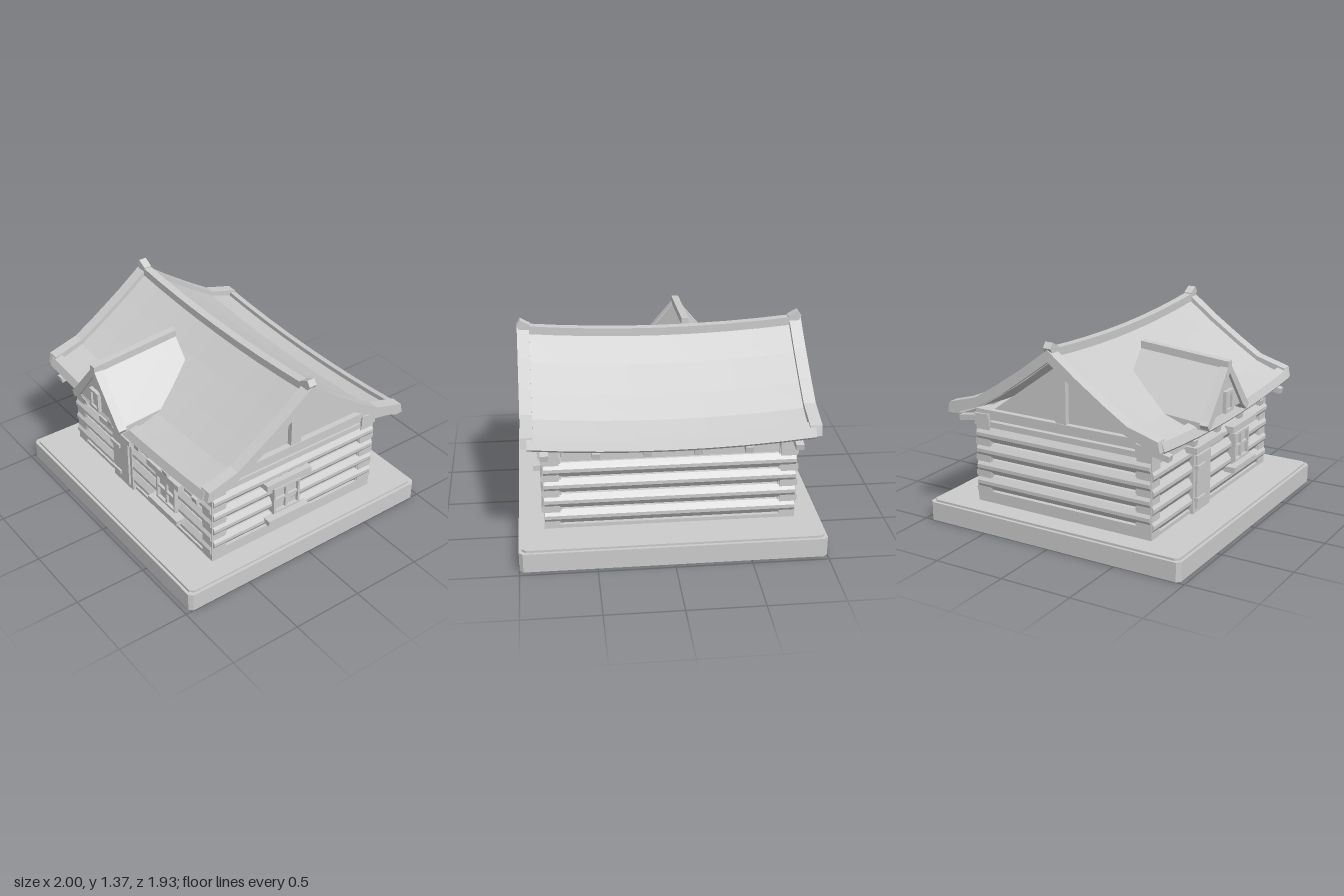
import * as THREE from 'three';

const timber = new THREE.MeshStandardMaterial({ color: 0xcccccc, flatShading: true });
timber.name = 'pale grey';

export function createModel() {
  const model = new THREE.Group();
  model.name = 'logCabin';

  const add = (name, geo, parent = model) => {
    const mesh = new THREE.Mesh(geo, timber);
    mesh.name = name;
    parent.add(mesh);
    return mesh;
  };
  const group = (name) => {
    const g = new THREE.Group();
    g.name = name;
    model.add(g);
    return g;
  };
  // Box given by its limits
  const box = (name, x0, x1, y0, y1, z0, z1, parent) => add(name,
    new THREE.BoxGeometry(x1 - x0, y1 - y0, z1 - z0)
      .translate((x0 + x1) / 2, (y0 + y1) / 2, (z0 + z1) / 2), parent);
  const shapeOf = (pts) => new THREE.Shape(pts.map((p) => new THREE.Vector2(...p)));
  const extrude = (pts, depth) =>
    new THREE.ExtrudeGeometry(shapeOf(pts), { depth, bevelEnabled: false });
  // Sweeps a profile of [-z, y] points along x, lifted by rise(x)
  const sweep = (pts, xs, rise) => {
    const n = pts.length, pos = [], idx = [];
    xs.forEach((x) => pts.forEach(([s, y]) => pos.push(x, y + rise(x), -s)));
    for (let i = 0; i < xs.length - 1; i++) {
      for (let j = 0; j < n; j++) {
        const a = i * n + j, b = i * n + (j + 1) % n;
        idx.push(a, b, b + n, a, b + n, a + n);
      }
    }
    const last = (xs.length - 1) * n;
    const tris = THREE.ShapeUtils.triangulateShape(pts.map((p) => new THREE.Vector2(...p)), []);
    tris.forEach(([a, b, c]) => idx.push(c, b, a, last + a, last + b, last + c));
    const geo = new THREE.BufferGeometry();
    geo.setAttribute('position', new THREE.Float32BufferAttribute(pos, 3));
    geo.setIndex(idx);
    const flat = geo.toNonIndexed();
    flat.computeVertexNormals();
    return flat;
  };

  // Plinth with clipped corners and a chamfered top
  const clipped = (x, z, c) => [[-x, -z + c], [-x + c, -z], [x - c, -z], [x, -z + c],
    [x, z - c], [x - c, z], [-x + c, z], [-x, z - c]];
  add('plinth', extrude(clipped(1, 0.965, 0.025), 0.13).rotateX(-Math.PI / 2));
  add('plinthTop', extrude(clipped(0.98, 0.945, 0.025), 0.145).rotateX(-Math.PI / 2));

  // Log walls: courses on the long and short sides alternate in height
  const walls = group('logWalls');
  box('wallCore', -0.74, 0.74, 0.14, 0.74, -0.585, 0.585, walls);
  const log = (length) => extrude([[-0.04, -0.05], [0.04, -0.05], [0.066, -0.012], [0.066, 0.012],
    [0.04, 0.05], [-0.04, 0.05], [-0.066, 0.012], [-0.066, -0.012]], length)
    .translate(0, 0, -length / 2);
  for (const s of [-1, 1]) {
    for (const y of [0.23, 0.342, 0.455, 0.567]) {
      add('longLog', log(1.65).rotateY(Math.PI / 2).translate(0, y, s * 0.62), walls);
    }
    for (const y of [0.285, 0.398, 0.51, 0.625]) {
      add('sideLog', log(1.33).translate(s * 0.778, y, 0), walls);
    }
    const zs = [s * 0.57, s * 0.67].sort((a, b) => a - b);
    box('sillBeam', -0.8, 0.8, 0.14, 0.17, ...zs, walls);
    box('wallPlate', -0.71, 0.71, 0.63, 0.77, ...zs, walls);
    const xs = [s * 0.73, s * 0.83].sort((a, b) => a - b);
    box('sideSill', ...xs, 0.14, 0.225, -0.6, 0.6, walls);
    box('sideTieBeam', ...xs, 0.735, 0.8, -0.67, 0.67, walls);
    box('sideTopBeam', ...xs, 0.68, 0.72, -0.6, 0.6, walls);
    for (const t of [-1, 1]) {
      box('cornerPost', -0.053, 0.053, 0.14, 0.8, -0.054, 0.054, walls)
        .position.set(s * 0.777, 0, t * 0.618);
      box('cornerHead', -0.055, 0.055, 0.69, 0.77, -0.06, 0.06, walls)
        .position.set(s * 0.787, 0, t * 0.618);
    }
  }

  // Gable ends with a king post
  const gables = group('gables');
  for (const s of [-1, 1]) {
    add('gablePanel', extrude([[-0.56, 0.79], [0.56, 0.79], [0, 1.2]], 0.04)
      .rotateY(Math.PI / 2).translate(s * 0.77 - 0.02, 0, 0), gables);
    box('kingPost', -0.04, 0.04, 0.79, 1.2, -0.04, 0.04, gables).position.x = s * 0.785;
  }

  // Rafter tails under both eaves
  const rafters = group('rafterTails');
  for (const s of [-1, 1]) {
    for (let i = 0; i < 6; i++) {
      const tail = box('rafterTail', -0.026, 0.026, -0.02, 0.02, -0.12, 0.12, rafters);
      tail.position.set(-0.82 + i * 0.327, 0.736, s * 0.68);
      tail.rotation.x = s * 0.18;
    }
  }

  // Main roof: concave slopes that sag towards the middle of the ridge
  const roof = group('mainRoof');
  const sag = (x) => -0.045 * Math.max(0, 1 - (x / 0.92) ** 2);
  const bays = [-0.92, -0.69, -0.46, -0.23, 0, 0.23, 0.46, 0.69, 0.92];
  const mirrorLoop = (top, low) => [
    ...low.map(([z, y]) => [-z, y]), ...low.slice(0, -1).reverse(),
    ...top, ...top.slice(0, -1).reverse().map(([z, y]) => [-z, y])];
  const panelTop = [[0.79, 0.815], [0.57, 0.893], [0.4, 1.0], [0.2, 1.135], [0, 1.285]];
  const panelLow = [[0.78, 0.775], [0.55, 0.855], [0.37, 0.965], [0.18, 1.095], [0, 1.235]];
  add('roofPanel', sweep(mirrorLoop(panelTop, panelLow), bays, sag), roof);
  const eave = [[0.735, 0.775], [0.8, 0.775], [0.812, 0.79], [0.79, 0.848], [0.735, 0.866]];
  add('backEaveBoard', sweep(eave, bays, sag), roof);
  add('frontEaveBoard', sweep(eave.map(([s, y]) => [-s, y]).reverse(), bays, sag), roof);

  // Curved bargeboards at both ends
  const bargeTop = [[0.785, 0.86], [0.57, 0.922], [0.4, 1.03], [0.2, 1.167], [0, 1.318]];
  const bargeLow = [[0.755, 0.787], [0.55, 0.865], [0.36, 0.975], [0.16, 1.12], [0, 1.24]];
  bargeLow.unshift([0.8, 0.79]);
  for (const x of [-0.96, 0.88]) {
    add('bargeboard', sweep(mirrorLoop(bargeTop, bargeLow), [x, x + 0.08], () => 0), roof);
  }

  // Ridge beam with upturned ends
  const ridge = [[-0.028, 1.27], [0.028, 1.27], [0.028, 1.325], [-0.028, 1.325]];
  add('ridgeBeam', sweep(ridge, [-0.9, ...bays.slice(1, -1), 0.9], sag), roof);
  for (const s of [-1, 1]) {
    add('ridgeEnd', extrude([[0.87, 1.28], [0.945, 1.3], [0.963, 1.328], [0.937, 1.365], [0.87, 1.328]], 0.056)
      .translate(0, 0, -0.028).rotateY(s > 0 ? 0 : Math.PI), roof);
  }

  // Dormer, its roof rising gently towards the back
  const dormer = group('dormer');
  dormer.position.x = -0.2;
  const shear = (geo) => {
    const p = geo.attributes.position;
    for (let i = 0; i < p.count; i++) p.setY(i, p.getY(i) + (0.88 - p.getZ(i)) * 0.08);
    geo.computeVertexNormals();
    return geo;
  };
  const dormerRoof = [[-0.275, 0.795], [0, 1.125], [0.275, 0.795], [0.275, 0.84], [0, 1.17], [-0.275, 0.84]];
  add('dormerRoof', shear(extrude(dormerRoof, 0.62).translate(0, 0, 0.24)), dormer);
  add('dormerRidge', shear(new THREE.BoxGeometry(0.05, 0.05, 0.64).translate(0, 1.168, 0.56)), dormer);
  add('dormerBargeboard', extrude([[-0.27, 0.8], [-0.21, 0.845], [0, 1.115], [0.21, 0.845], [0.27, 0.8],
    [0.298, 0.84], [0.272, 0.86], [0, 1.185], [-0.272, 0.86], [-0.298, 0.84]], 0.06).translate(0, 0, 0.82), dormer);
  add('dormerGable', extrude([[-0.215, 0.855], [0.215, 0.855], [0, 1.125]], 0.05).translate(0, 0, 0.81), dormer);

  // Framed openings: local x across, y up, z outwards
  const frame = (name, w, y0, y1, rim, depth, parent) => {
    const shape = shapeOf([[-w, y0], [w, y0], [w, y1], [-w, y1]]);
    const i = w - rim;
    shape.holes.push(new THREE.Path([[-i, y0 + rim], [-i, y1 - rim], [i, y1 - rim], [i, y0 + rim]]
      .map((p) => new THREE.Vector2(...p))));
    return add(name, new THREE.ExtrudeGeometry(shape, { depth, bevelEnabled: false }), parent);
  };
  frame('dormerWindowFrame', 0.053, 0.855, 1.0, 0.02, 0.035, dormer).position.z = 0.85;
  box('dormerWindowPane', -0.034, 0.034, 0.86, 0.98, 0.85, 0.87, dormer);

  // Windows with a cross bar, lintel and sill
  const makeWindow = (name) => {
    const g = group(name);
    box('lintel', -0.182, 0.182, 0.565, 0.61, -0.06, 0.055, g);
    box('sill', -0.168, 0.168, 0.272, 0.312, -0.06, 0.065, g);
    box('windowPane', -0.1, 0.1, 0.312, 0.54, -0.06, 0.012, g);
    frame('windowFrame', 0.108, 0.33, 0.535, 0.016, 0.075, g).position.z = -0.04;
    box('mullion', -0.009, 0.009, 0.335, 0.53, 0, 0.03, g);
    box('crossBar', -0.1, 0.1, 0.425, 0.443, 0, 0.03, g);
    return g;
  };
  makeWindow('frontWindow').position.set(0.363, 0, 0.68);
  const side = makeWindow('sideWindow');
  side.position.set(0.83, 0, 0.09);
  side.rotation.y = Math.PI / 2;

  // Door with strap hinges and lintel
  const door = group('door');
  door.position.x = -0.196;
  box('doorSurround', -0.12, 0.12, 0.14, 0.6, 0.6, 0.693, door);
  box('doorLeaf', -0.094, 0.094, 0.18, 0.546, 0.6, 0.708, door);
  box('doorLintel', -0.19, 0.19, 0.592, 0.636, 0.6, 0.75, door);
  for (const y of [0.23, 0.455]) box('hinge', -0.105, 0.005, y, y + 0.026, 0.69, 0.722, door);

  return model;
}
